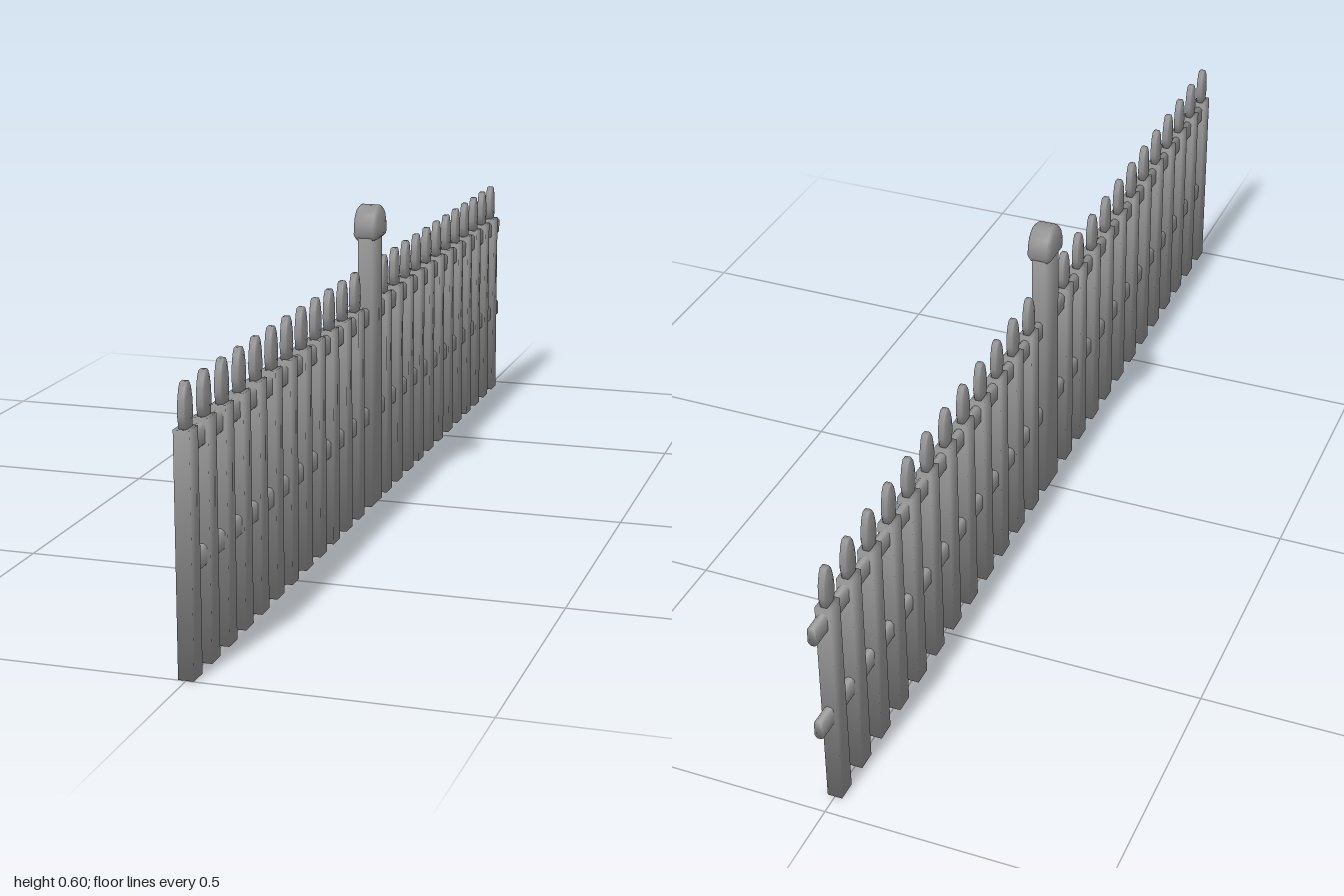
import * as THREE from 'three';

const material = new THREE.MeshStandardMaterial({ color: 0x939393 });

// Soft shading: each corner gets the even average of the faces that meet there
function smooth(geometry) {
  const { position, normal } = geometry.attributes;
  const keyOf = (attribute, i) =>
    [attribute.getX(i), attribute.getY(i), attribute.getZ(i)].map(v => Math.round(v * 1e4)).join();
  const corners = new Map();
  for (let i = 0; i < position.count; i++) {
    const key = keyOf(position, i);
    if (!corners.has(key)) corners.set(key, new Map());
    corners.get(key).set(keyOf(normal, i), new THREE.Vector3().fromBufferAttribute(normal, i));
  }
  for (let i = 0; i < position.count; i++) {
    const sum = new THREE.Vector3();
    corners.get(keyOf(position, i)).forEach(n => sum.add(n));
    sum.normalize();
    normal.setXYZ(i, sum.x, sum.y, sum.z);
  }
  return geometry;
}

// Upright board standing on the ground
function board(w, d, height) {
  return smooth(new THREE.BoxGeometry(w, height, d).translate(0, height / 2, 0));
}

// Rail along z with cut corners
function rail(w, h, length, cut) {
  const x = w / 2, y = h / 2;
  const shape = new THREE.Shape([
    [x - cut, -y], [x, -y + cut], [x, y - cut], [x - cut, y],
    [-x + cut, y], [-x, y - cut], [-x, -y + cut], [-x + cut, -y],
  ].map(p => new THREE.Vector2(...p)));
  return smooth(new THREE.ExtrudeGeometry(shape, { depth: length, bevelEnabled: false }));
}

// Symmetric outline of [half width, height] points, extruded across x with bevelled edges
function finial(half, thickness, bevel) {
  const right = half.map(([z, y]) => new THREE.Vector2(z, y));
  const left = half.map(([z, y]) => new THREE.Vector2(-z, y)).reverse();
  const depth = thickness - 2 * bevel;
  const geometry = new THREE.ExtrudeGeometry(new THREE.Shape([...right, ...left]), {
    depth, bevelEnabled: true, bevelSegments: 1,
    bevelSize: bevel, bevelThickness: bevel, bevelOffset: -bevel,
  });
  return smooth(geometry.translate(0, 0, -depth / 2).rotateY(-Math.PI / 2));
}

function addMesh(parent, name, geometry) {
  const mesh = new THREE.Mesh(geometry, material);
  mesh.name = name;
  parent.add(mesh);
  return mesh;
}

export function createModel() {
  const fence = new THREE.Group();
  fence.name = 'picketFence';

  // Pickets: twelve on each side of the post
  const picketBody = board(0.027, 0.037, 0.408);
  const picketTip = finial([
    [0.013, 0.405], [0.0185, 0.43], [0.0165, 0.453], [0.0115, 0.472], [0.005, 0.482],
  ], 0.0135, 0.002);
  for (const start of [0.9805, -0.074]) {
    for (let i = 0; i < 12; i++) {
      const picket = new THREE.Group();
      picket.name = 'picket';
      picket.position.z = start - i * 0.079;
      addMesh(picket, 'picketBody', picketBody);
      addMesh(picket, 'picketTip', picketTip);
      fence.add(picket);
    }
  }

  // Two rails running the whole length
  const railGeometry = rail(0.017, 0.037, 1.98, 0.005);
  addMesh(fence, 'lowerRail', railGeometry).position.set(0, 0.183, -1);
  addMesh(fence, 'upperRail', railGeometry).position.set(0, 0.381, -1);

  // Centre post with a domed cap
  const post = new THREE.Group();
  post.name = 'post';
  post.position.z = 0.012;
  addMesh(post, 'postBody', board(0.027, 0.07, 0.54));
  addMesh(post, 'postCap', finial([
    [0.031, 0.531], [0.039, 0.541], [0.037, 0.562], [0.03, 0.58], [0.018, 0.592], [0.006, 0.596],
  ], 0.046, 0.006));
  fence.add(post);

  return fence;
}
